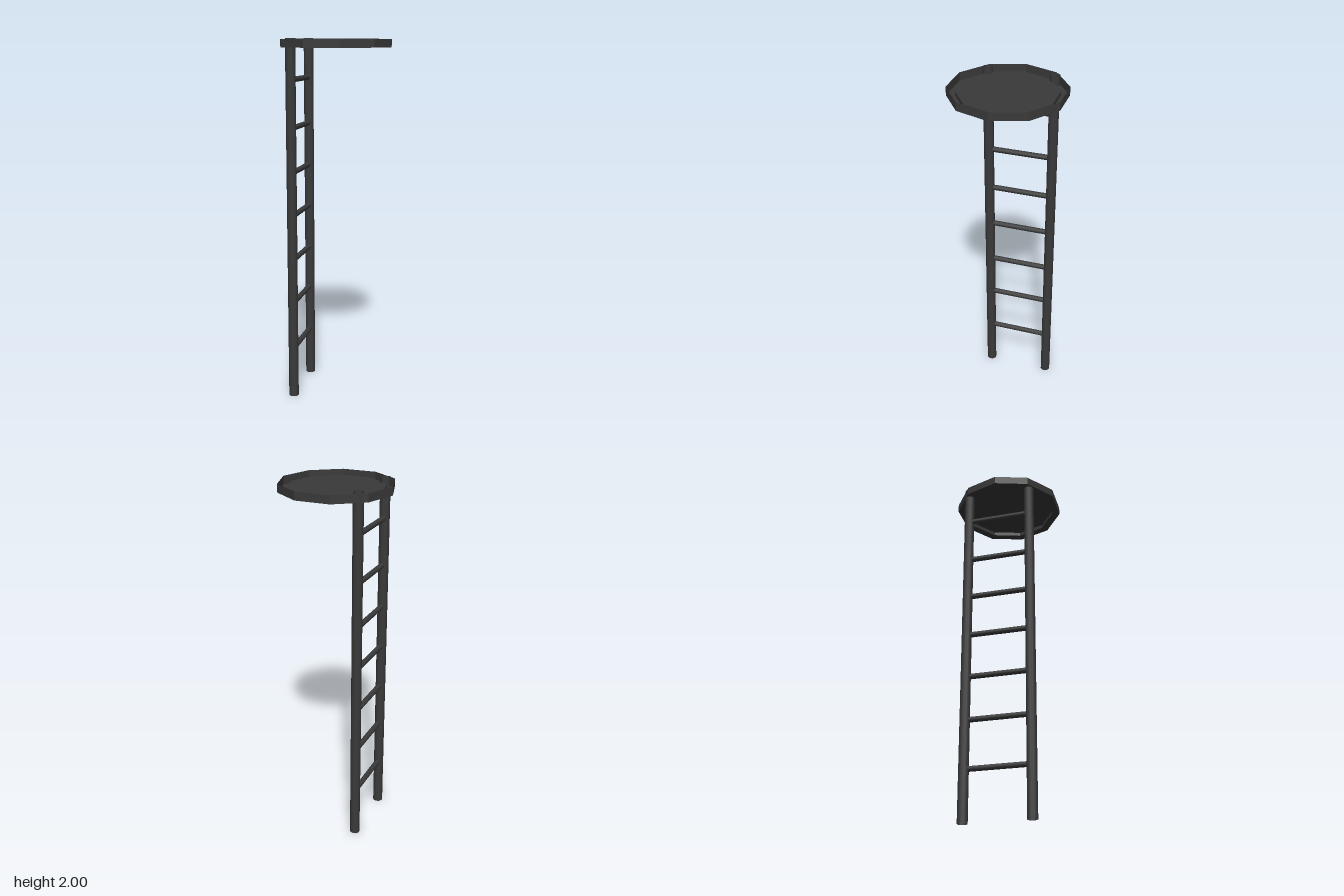
import * as THREE from 'three';

export function createModel() {
  const model = new THREE.Group();
  const flat = new THREE.MeshStandardMaterial({ color: 0x3a3a3a, flatShading: true, side: THREE.DoubleSide });
  const smooth = new THREE.MeshStandardMaterial({ color: 0x3a3a3a, side: THREE.DoubleSide });
  const add = (name, geometry, material, x, y, z) => {
    const mesh = new THREE.Mesh(geometry, material);
    mesh.name = name;
    mesh.position.set(x, y, z);
    model.add(mesh);
    return mesh;
  };

  // Ten-sided tray: raised floor, lower gutter and thin outer rim
  const profile = [[0, 1.972], [0.264, 1.972], [0.264, 1.95], [0.309, 1.95], [0.309, 1.995]]
    .map(([r, y]) => new THREE.Vector2(r, y));
  add('platform', new THREE.LatheGeometry(profile, 10, Math.PI / 2), flat, 0, 0, 0);

  // Two open tubular rails, just inside the rim
  const railX = -0.2, frontZ = 0.175, backZ = -0.186;
  const railGeometry = new THREE.CylinderGeometry(0.028, 0.028, 2, 12, 1, true);
  add('frontRail', railGeometry, smooth, railX, 1, frontZ);
  add('backRail', railGeometry, smooth, railX, 1, backZ);

  // Rungs between the rails
  const rungGeometry = new THREE.CylinderGeometry(0.015, 0.015, frontZ - backZ - 0.03, 12, 1, true);
  rungGeometry.rotateX(Math.PI / 2);
  [0.28, 0.547, 0.793, 1.043, 1.283, 1.525, 1.783].forEach((y, i) =>
    add(`rung${i + 1}`, rungGeometry, smooth, railX, y, (frontZ + backZ) / 2));

  return model;
}
